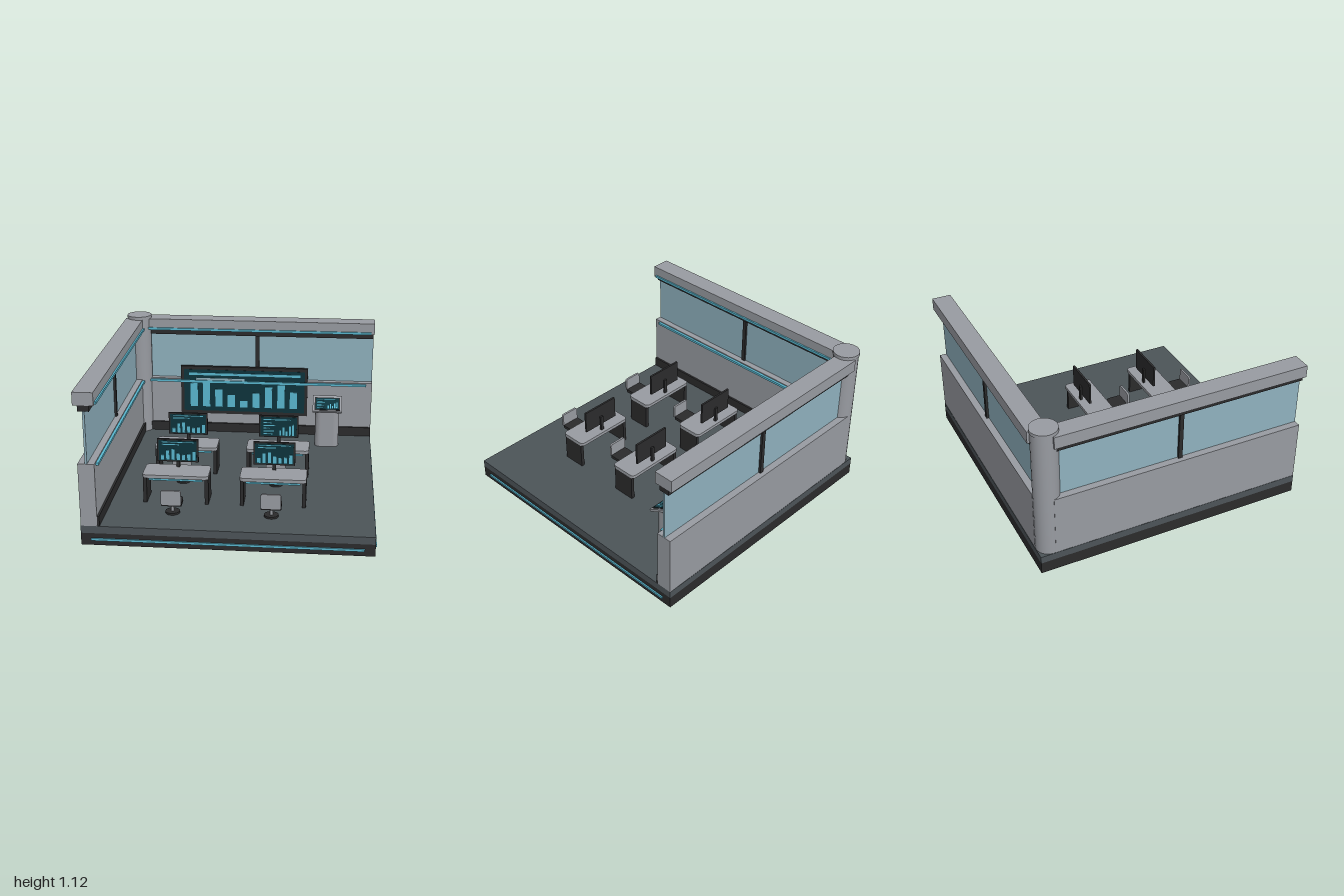
import * as THREE from 'three';

const mat = (name, color) => {
  const m = new THREE.MeshStandardMaterial({ color });
  m.name = name;
  return m;
};

export function createModel() {
  const grey = mat('wall grey', 0x989ba1);
  const black = mat('trim black', 0x2b2b2c);
  const slate = mat('floor slate', 0x4c5458);
  const glass = mat('window blue', 0x8fb1be);
  const cyan = mat('light cyan', 0x5ab8d0);
  const teal = mat('screen teal', 0x0e343c);

  const root = new THREE.Group();
  root.name = 'controlRoom';

  const add = (parent, name, geometry, material, x = 0, y = 0, z = 0) => {
    const m = new THREE.Mesh(geometry, material);
    m.name = name;
    m.position.set(x, y, z);
    parent.add(m);
    return m;
  };
  // Box given by its extents
  const box = (parent, name, material, [x0, x1], [y0, y1], [z0, z1]) =>
    add(parent, name, new THREE.BoxGeometry(x1 - x0, y1 - y0, z1 - z0), material,
      (x0 + x1) / 2, (y0 + y1) / 2, (z0 + z1) / 2);
  const group = (parent, name, x = 0, y = 0, z = 0) => {
    const g = new THREE.Group();
    g.name = name;
    g.position.set(x, y, z);
    parent.add(g);
    return g;
  };
  // Rounded plate in the xy plane, extruded along z; rt and rb are top and bottom corner radii
  const plate = (w, h, depth, rt, rb = rt) => {
    const s = new THREE.Shape(), a = w / 2, b = h / 2;
    s.moveTo(-a + rb, -b);
    s.lineTo(a - rb, -b);
    s.absarc(a - rb, -b + rb, rb, -Math.PI / 2, 0);
    s.lineTo(a, b - rt);
    s.absarc(a - rt, b - rt, rt, 0, Math.PI / 2);
    s.lineTo(-a + rt, b);
    s.absarc(-a + rt, b - rt, rt, Math.PI / 2, Math.PI);
    s.lineTo(-a, -b + rb);
    s.absarc(-a + rb, -b + rb, rb, Math.PI, Math.PI * 1.5);
    return new THREE.ExtrudeGeometry(s, { depth, bevelEnabled: false, curveSegments: 6 });
  };
  const slab = (...args) => plate(...args).rotateX(-Math.PI / 2);

  // Base with light strips on the two open sides
  box(root, 'basePlinth', black, [-0.99, 0.99], [0, 0.087], [-0.99, 0.99]);
  box(root, 'floor', slate, [-0.99, 0.99], [0.087, 0.14], [-0.99, 0.99]);
  box(root, 'frontBaseLight', cyan, [-0.92, 0.918], [0.036, 0.052], [0.988, 1]);
  box(root, 'rightBaseLight', cyan, [0.988, 1], [0.036, 0.052], [-0.92, 0.918]);

  // Walls: "along" runs down the wall, "across" is its thickness; the left wall swaps the axes
  const buildWall = (name, swap) => {
    const g = group(root, name);
    const part = (n, m, along, y, across) =>
      swap ? box(g, n, m, across, y, along) : box(g, n, m, along, y, across);
    part('lowerWall', grey, [-0.88, 0.99], [0.14, 0.59], [-0.988, -0.875]);
    part('baseboard', black, [-0.86, 0.988], [0.14, 0.213], [-0.88, -0.86]);
    part('windowPane', glass, [-0.88, 0.988], [0.59, 0.957], [-0.938, -0.923]);
    part('mullion', black, [0.043, 0.073], [0.59, 0.957], [-0.955, -0.907]);
    part('windowHead', black, [-0.87, 0.985], [0.957, 1], [-0.97, -0.893]);
    part('header', grey, [-0.87, 0.992], [1, 1.09], [-1, -0.86]);
    part('headerLight', cyan, [-0.83, 0.965], [1.002, 1.02], [-0.862, -0.848]);
    part('sillLight', cyan, [-0.83, 0.943], [0.564, 0.582], [-0.878, -0.856]);
  };
  buildWall('backWall', false);
  buildWall('leftWall', true);

  // Corner column
  add(root, 'cornerColumn', new THREE.CylinderGeometry(0.091, 0.091, 0.96, 24), grey, -0.897, 0.62, -0.897);
  add(root, 'columnCap', new THREE.CylinderGeometry(0.096, 0.096, 0.025, 24), grey, -0.897, 1.1025, -0.897);

  // Row of chart bars standing on y on a screen face at z
  const bars = (parent, heights, x, y, z, step, width) => heights.forEach((h, i) =>
    box(parent, 'chartBar', cyan, [x + i * step, x + i * step + width], [y, y + h], [z, z + 0.004]));
  const line = (parent, x0, x1, y, z, m = cyan, t = 0.007) =>
    box(parent, 'screenLine', m, [x0, x1], [y - t / 2, y + t / 2], [z, z + 0.004]);

  // Large wall display
  const display = group(root, 'wallDisplay');
  box(display, 'displayFrame', black, [-0.565, 0.47], [0.295, 0.698], [-0.895, -0.867]);
  box(display, 'displayScreen', teal, [-0.54, 0.447], [0.32, 0.672], [-0.868, -0.865]);
  line(display, -0.5, 0.41, 0.635, -0.866, cyan, 0.02);
  line(display, -0.44, -0.045, 0.592, -0.866, glass, 0.018);
  bars(display, [0.2, 0.21, 0.15, 0.105, 0.055, 0.125, 0.18, 0.2, 0.14], -0.488, 0.357, -0.866, 0.102, 0.06);

  // Screen contents: full chart, or text lines beside a small chart
  const chartPage = (p, z) => {
    line(p, -0.115, 0.01, 0.045, z);
    line(p, -0.115, 0.115, 0.063, z, cyan, 0.005);
    bars(p, [0.035, 0.07, 0.08, 0.05, 0.04, 0.045, 0.065], -0.12, -0.07, z, 0.0375, 0.022);
  };
  const textPage = (p, z) => {
    line(p, -0.115, 0.09, 0.055, z);
    [0.06, 0.09, 0.05, 0.08, 0.07].forEach((w, i) => line(p, -0.115, -0.115 + w, 0.03 - i * 0.022, z));
    bars(p, [0.04, 0.065, 0.035, 0.075, 0.09], 0.005, -0.07, z, 0.024, 0.014);
  };

  // Desk with monitor and chair
  const buildStation = (x, z, page) => {
    const s = group(root, 'workstation', x, 0, z);
    const desk = group(s, 'desk');
    add(desk, 'deskTop', slab(0.465, 0.208, 0.025, 0.03), grey, 0, 0.332, 0);
    for (const side of [-1, 1]) {
      box(desk, 'deskLeg', black, [side * 0.218 - 0.013, side * 0.218 + 0.013], [0.14, 0.332], [-0.085, 0.085]);
    }
    box(desk, 'deskLight', cyan, [-0.19, 0.19], [0.312, 0.324], [0.078, 0.09]);

    const monitor = group(s, 'monitor', 0, 0.487, -0.055);
    box(monitor, 'monitorCase', black, [-0.147, 0.147], [-0.085, 0.085], [-0.008, 0.007]);
    box(monitor, 'monitorScreen', teal, [-0.135, 0.135], [-0.075, 0.075], [0.006, 0.009]);
    page(monitor, 0.007);
    box(monitor, 'monitorNeck', black, [-0.012, 0.012], [-0.132, -0.01], [-0.022, -0.006]);

    const chair = group(s, 'chair', 0, 0.14, 0.235);
    add(chair, 'chairFoot', new THREE.CylinderGeometry(0.05, 0.05, 0.014, 20), black, 0, 0.007, 0);
    add(chair, 'chairPost', new THREE.CylinderGeometry(0.011, 0.011, 0.068, 12), grey, 0, 0.045, 0);
    add(chair, 'chairSeat', slab(0.142, 0.135, 0.024, 0.045, 0.012), black, 0, 0.076, 0);
    add(chair, 'chairBack', plate(0.14, 0.11, 0.016, 0.015), grey, 0, 0.14, 0.062);
  };
  for (const x of [-0.402, 0.281]) {
    buildStation(x, -0.05, x > 0 ? textPage : chartPage);
    buildStation(x, 0.491, chartPage);
  }

  // Kiosk with tilted screen
  const kiosk = group(root, 'kiosk', 0.636, 0, -0.683);
  add(kiosk, 'kioskPedestal', slab(0.188, 0.165, 0.33, 0.045), grey, 0, 0.14, 0);
  const panel = group(kiosk, 'kioskPanel', 0, 0.486, 0.042);
  panel.rotation.x = -Math.PI / 2 + 0.5;
  box(panel, 'panelFrame', grey, [-0.115, 0.115], [-0.085, 0.085], [-0.01, 0.008]);
  box(panel, 'panelBezel', black, [-0.1, 0.1], [-0.075, 0.06], [0.007, 0.011]);
  box(panel, 'panelScreen', teal, [-0.092, 0.092], [-0.067, 0.052], [0.01, 0.013]);
  const content = group(panel, 'panelContent', 0, -0.007, 0.011);
  content.scale.set(0.7, 0.75, 1);
  textPage(content, 0);

  return root;
}
